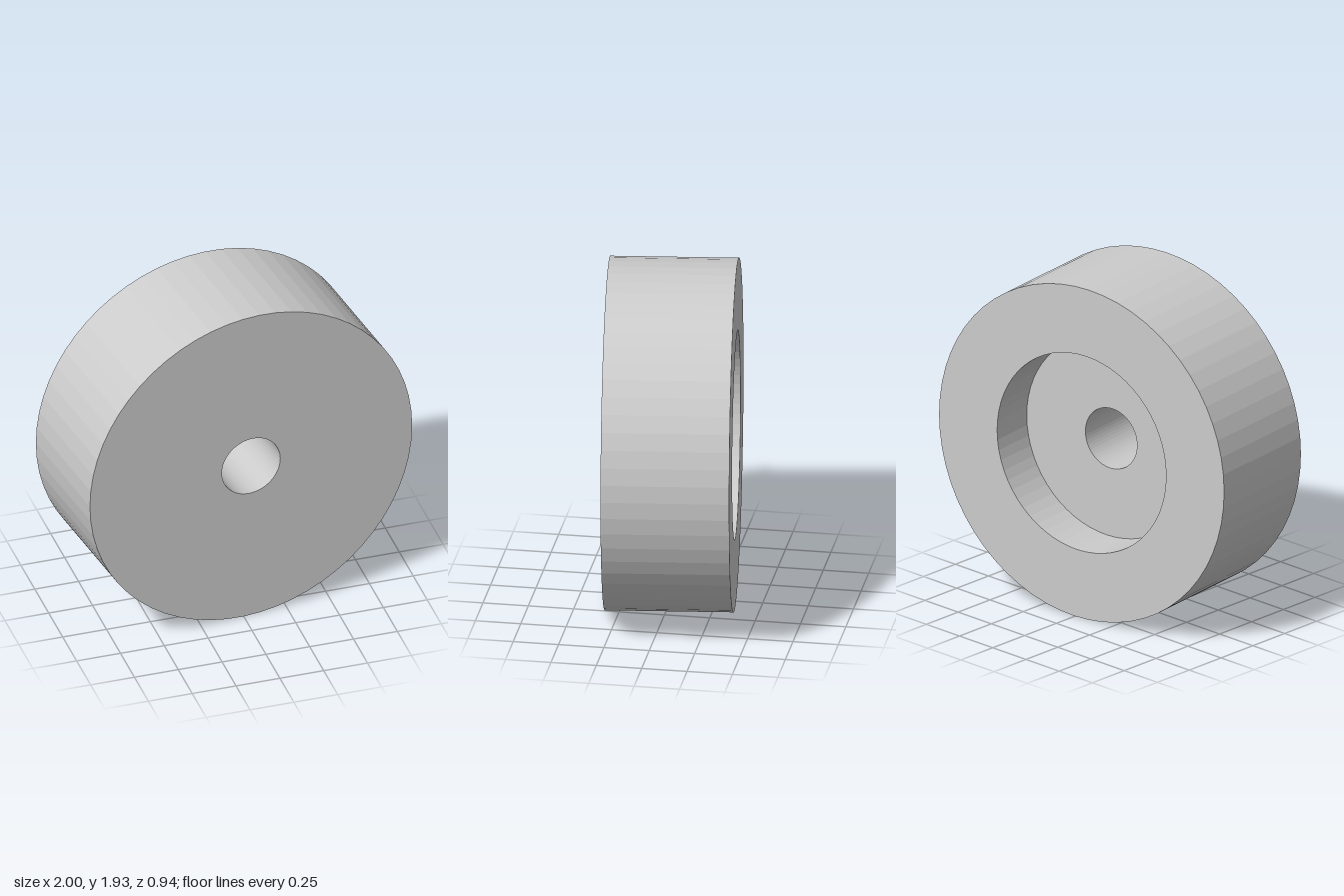
import * as THREE from 'three';

export function createModel() {
  const outer = 0.965, recess = 0.572, bore = 0.175;
  const front = 0.35, back = -0.35, floor = -0.08;

  // closed section: bore, recess floor, recess wall, back rim, outer wall, front face
  const profile = [
    [bore, floor], [recess, floor], [recess, back], [outer, back],
    [outer, front], [bore, front], [bore, floor],
  ].map(([r, z]) => new THREE.Vector2(r, z));

  // spin the section, then lay the axis along z
  const geometry = new THREE.LatheGeometry(profile, 62, Math.PI / 2);
  geometry.rotateX(Math.PI / 2);

  const wheel = new THREE.Mesh(
    geometry,
    new THREE.MeshStandardMaterial({ color: 0xcccccc, flatShading: true }),
  );
  wheel.name = 'recessedWheel';

  // stand on the ground, turned slightly about the vertical
  wheel.position.y = outer;
  wheel.rotation.y = 0.125;

  const group = new THREE.Group();
  group.name = 'wheel';
  group.add(wheel);
  return group;
}
